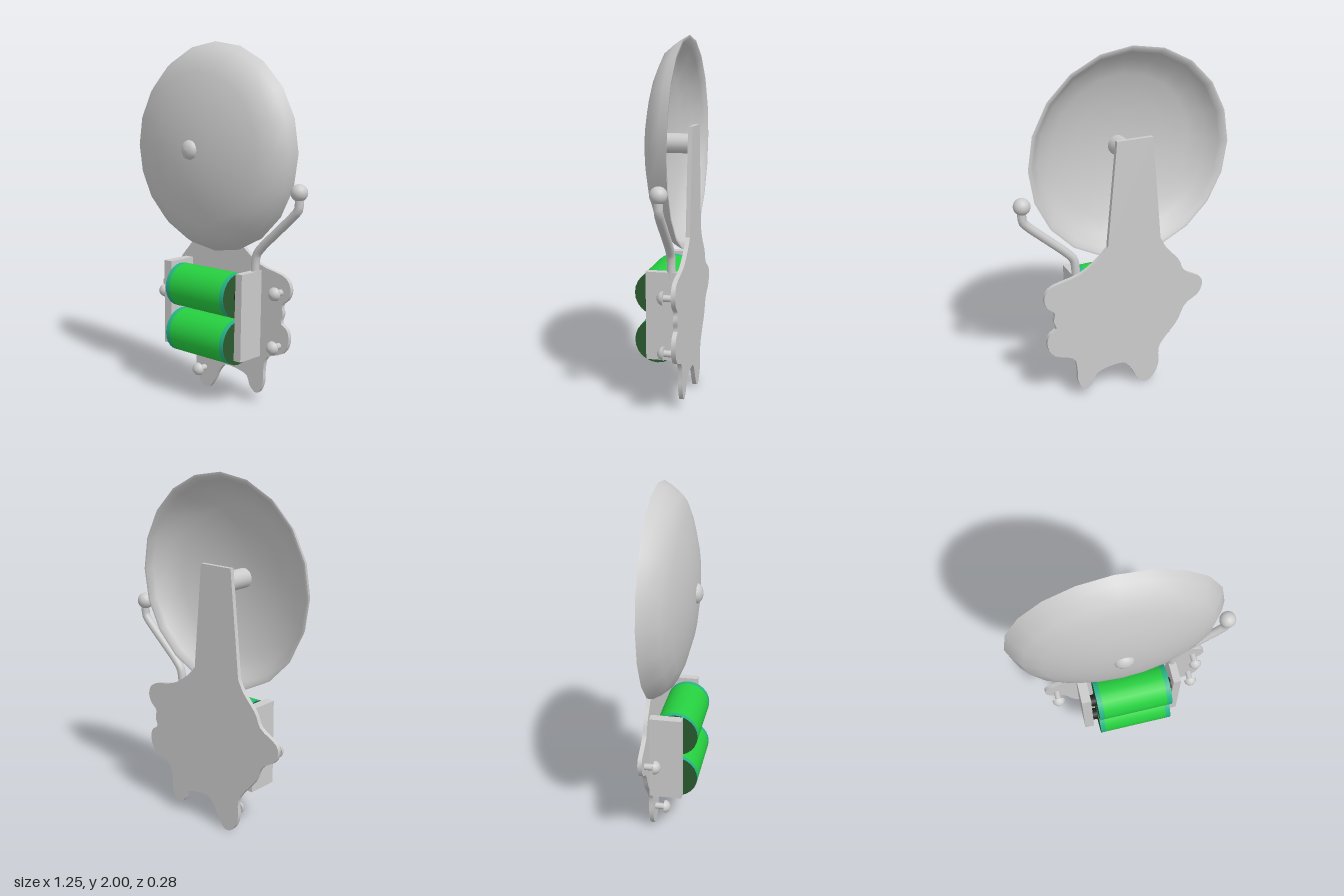
import * as THREE from 'three';
import { toCreasedNormals } from 'three/addons/utils/BufferGeometryUtils.js';

const mat = (color) => new THREE.MeshStandardMaterial({ color });
const grey = mat(0xcccccc);
const green = mat(0x26d040);
const teal = mat(0x26b487);
const darkGreen = mat(0x2a5a2e);
const black = mat(0x222222);

export function createModel() {
  const model = new THREE.Group();

  const add = (name, geometry, material = grey, x = 0, y = 0, z = 0, parent = model) => {
    const mesh = new THREE.Mesh(geometry, material);
    mesh.name = name;
    mesh.position.set(x, y, z);
    parent.add(mesh);
    return mesh;
  };
  const v2 = ([x, y]) => new THREE.Vector2(x, y);
  // Cylinder along z from z0 to z1
  const rodZ = (r, z0, z1, sides = 16) =>
    new THREE.CylinderGeometry(r, r, z1 - z0, sides).rotateX(Math.PI / 2).translate(0, 0, (z0 + z1) / 2);
  // Half sphere facing +z
  const domeZ = (r, depth) =>
    new THREE.LatheGeometry([
      v2([0, 0]), v2([r, 0]), v2([r, 0.001]), v2([r * 0.92, depth * 0.4]),
      v2([r * 0.7, depth * 0.72]), v2([r * 0.38, depth * 0.93]), v2([0, depth]),
    ], 16).rotateX(Math.PI / 2);

  // Back plate: straight tapered neck above a wavy cast body
  const outline = [
    [0.12, 0.92], [0.18, 0.86], [0.29, 0.79], [0.45, 0.75], [0.495, 0.69], [0.48, 0.63], [0.438, 0.59],
    [0.445, 0.54], [0.432, 0.49], [0.475, 0.455], [0.485, 0.39], [0.445, 0.32], [0.335, 0.275],
    [0.312, 0.2], [0.31, 0.13], [0.285, 0.07], [0.255, 0.055], [0.215, 0.085], [0.18, 0.148],
    [0.04, 0.17], [-0.015, 0.13], [-0.055, 0.06], [-0.095, 0.008], [-0.14, 0.005], [-0.18, 0.045],
    [-0.203, 0.11], [-0.203, 0.21], [-0.25, 0.28], [-0.32, 0.36], [-0.37, 0.46], [-0.46, 0.52],
    [-0.472, 0.61], [-0.36, 0.68], [-0.32, 0.76], [-0.24, 0.85], [-0.2, 0.92],
  ];
  const plate = new THREE.Shape();
  plate.moveTo(-0.145, 1.515);
  plate.lineTo(0.065, 1.515);
  plate.lineTo(...outline[0]);
  plate.splineThru(outline.slice(1).map(v2));
  plate.closePath();
  add('backPlate', toCreasedNormals(
    new THREE.ExtrudeGeometry(plate, { depth: 0.024, bevelEnabled: false, curveSegments: 3 }), 0.6),
  grey, 0, 0, -0.142);

  // Gong: thin shallow dish, inner wall then outer wall
  const bell = new THREE.Group();
  bell.name = 'bell';
  bell.position.set(-0.04, 1.415, 0);
  model.add(bell);
  const outer = [[0.585, -0.105], [0.56, -0.06], [0.51, 0], [0.42, 0.04], [0.29, 0.077], [0.15, 0.099], [0, 0.106]];
  const inner = outer.map(([r, z]) => [r * 0.975, Math.max(z - 0.015, -0.105)]).reverse();
  const dish = new THREE.LatheGeometry([...inner, ...outer].map(v2), 20).rotateX(Math.PI / 2);
  add('bellDish', toCreasedNormals(dish, 0.9), grey, 0, 0, 0, bell);
  add('bellPost', rodZ(0.055, -0.12, 0.09), grey, 0, 0, 0, bell);
  add('bellScrew', domeZ(0.055, 0.035), grey, 0, 0, 0.1, bell);

  // Mounting screws
  for (const [x, y] of [[0.43, 0.66], [0.42, 0.36], [-0.41, 0.545], [-0.133, 0.117]]) {
    const screw = new THREE.Group();
    screw.name = 'mountingScrew';
    screw.position.set(x, y, 0);
    model.add(screw);
    add('screwShaft', rodZ(0.018, -0.125, -0.06, 12), grey, 0, 0, 0, screw);
    add('screwHead', domeZ(0.038, 0.036), grey, 0, 0, -0.066, screw);
  }

  // Pair of electromagnet coils with end bands and iron cores
  for (const y of [0.632, 0.368]) {
    const coil = new THREE.Group();
    coil.name = 'coil';
    coil.position.set(0, y, 0.012);
    model.add(coil);
    const section = (name, r, x0, x1, material, open = false) =>
      add(name, new THREE.CylinderGeometry(r, r, x1 - x0, 24, 1, open).rotateZ(Math.PI / 2),
        material, (x0 + x1) / 2, 0, 0, coil);
    section('coilWinding', 0.124, -0.168, 0.21, green, true);
    for (const x0 of [-0.198, 0.21]) section('coilBand', 0.124, x0, x0 + 0.03, teal, true);
    for (const [x, turn] of [[-0.198, -1], [0.24, 1]]) {
      add('coilEnd', new THREE.CircleGeometry(0.124, 24).rotateY(turn * Math.PI / 2), darkGreen, x, 0, 0, coil);
    }
    section('coilCore', 0.035, -0.24, 0.265, black);
  }

  // Yoke on the right side, slightly tilted armature on the left
  add('yoke', new THREE.BoxGeometry(0.055, 0.485, 0.18), grey, -0.257, 0.523, -0.03);
  const bar = new THREE.Shape([[0.25, 0.28], [0.298, 0.28], [0.306, 0.765], [0.262, 0.765]].map(v2));
  add('armature', new THREE.ExtrudeGeometry(bar, { depth: 0.165, bevelEnabled: false }), grey, 0, 0, -0.105);

  // Bent striker arm and ball
  const path = new THREE.CatmullRomCurve3([
    [0.283, 0.74], [0.287, 0.82], [0.297, 0.86], [0.33, 0.9], [0.44, 1.0],
    [0.55, 1.1], [0.574, 1.13], [0.578, 1.16], [0.578, 1.21],
  ].map(([x, y]) => new THREE.Vector3(x, y, -0.075)), false, 'centripetal');
  add('strikerArm', new THREE.TubeGeometry(path, 28, 0.024, 12), grey);
  add('strikerBall', new THREE.SphereGeometry(0.046, 20, 14), grey, 0.576, 1.217, -0.075);

  return model;
}
